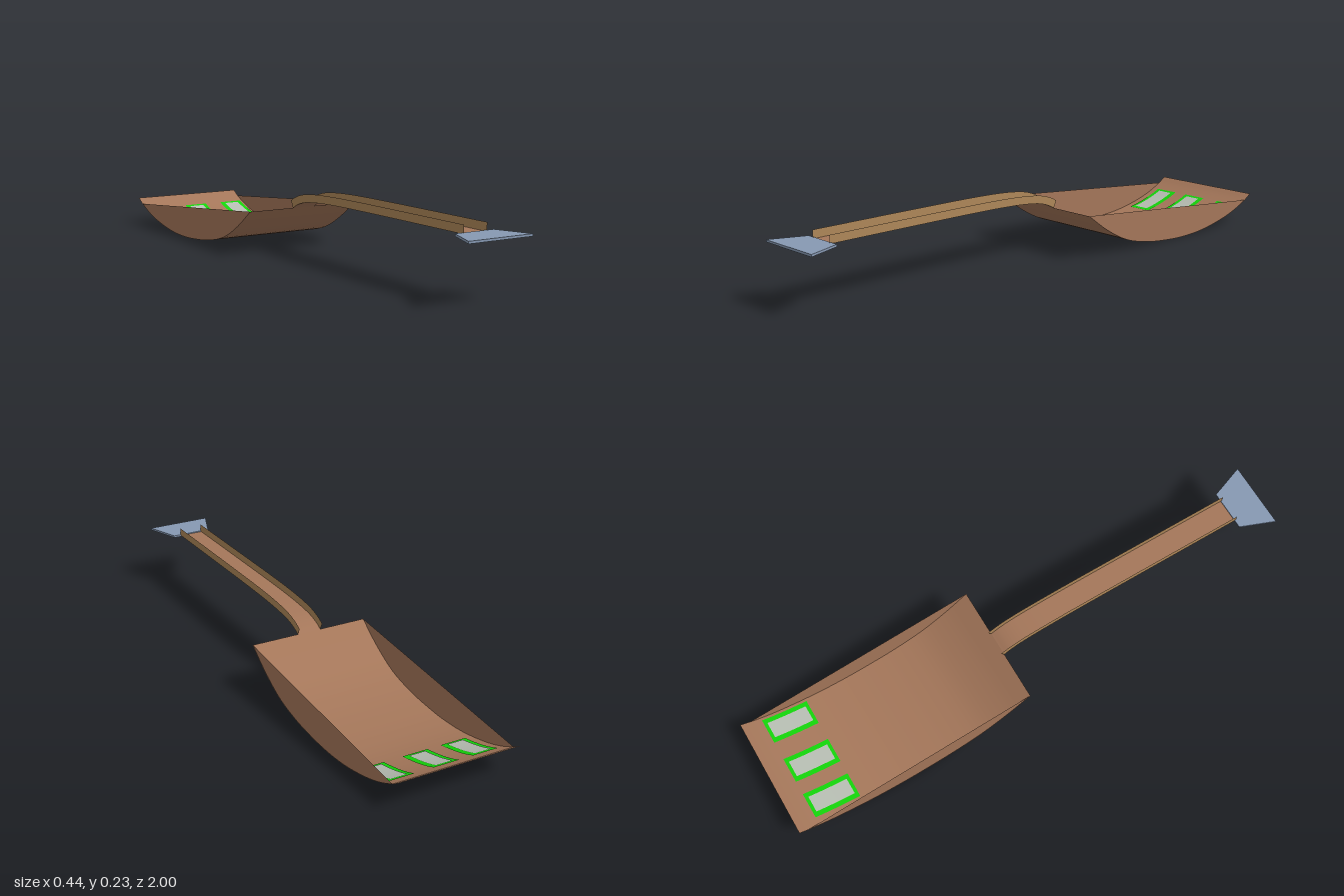
import * as THREE from 'three';

const mat = (name, color, side = THREE.DoubleSide) => {
  const m = new THREE.MeshStandardMaterial({ color, side });
  m.name = name;
  return m;
};

// surface stretched between two rows of points
function loft(rowA, rowB) {
  const pos = [], index = [];
  rowA.forEach((a, i) => {
    pos.push(...a, ...rowB[i]);
    if (i > 0) {
      const k = 2 * (i - 1);
      index.push(k, k + 1, k + 3, k, k + 3, k + 2);
    }
  });
  const g = new THREE.BufferGeometry();
  g.setAttribute('position', new THREE.Float32BufferAttribute(pos, 3));
  g.setIndex(index);
  g.computeVertexNormals();
  return g;
}

// smooth side profile through [z, y] points
const profile = (pts) => new THREE.CatmullRomCurve3(
  pts.map(([z, y]) => new THREE.Vector3(0, y, z)), false, 'centripetal');

export function createModel() {
  const model = new THREE.Group();
  const brown = mat('brown', 0xa5775a);
  const tan = mat('tan', 0xae8759);
  const steel = mat('steelBlue', 0x8799b3);
  const green = mat('green', 0x14d40a);
  const grey = mat('paleGrey', 0xb6bdb2);

  const add = (name, geometry, material) => {
    const mesh = new THREE.Mesh(geometry, material);
    mesh.name = name;
    model.add(mesh);
    return mesh;
  };
  const sheet = (pts, x0, x1, lift = 0) => loft(
    pts.map((p) => [x0, p.y + lift, p.z]), pts.map((p) => [x1, p.y + lift, p.z]));

  // curved bowl floor
  const bowl = profile([[-0.088, 0.162], [-0.18, 0.097], [-0.285, 0.043], [-0.4, 0.015],
    [-0.5, 0.004], [-0.59, 0], [-0.7, 0.006], [-0.82, 0.028], [-0.9, 0.052],
    [-0.967, 0.082], [-1, 0.102]]);
  const bowlPts = bowl.getPoints(40);
  add('bowlFloor', sheet(bowlPts, -0.222, 0.222), brown);

  // thin bowl sides, straight along the top
  const sidePts = bowlPts.filter((p) => p.z >= -0.968);
  const rimY = (z) => 0.162 + (z + 0.088) / (-0.967 + 0.088) * (0.082 - 0.162);
  for (const [name, x] of [['leftBowlSide', 0.221], ['rightBowlSide', -0.221]]) {
    add(name, loft(sidePts.map((p) => [x, p.y, p.z]),
      sidePts.map((p) => [x, Math.max(p.y, rimY(p.z)), p.z])), brown);
  }

  // handle floor, curving down into the bowl
  const handle = profile([[0.88, 0.205], [0.5, 0.205], [0.25, 0.204], [0.12, 0.201],
    [0.04, 0.196], [-0.02, 0.188], [-0.06, 0.176], [-0.088, 0.162]]);
  const handlePts = handle.getPoints(42);
  add('handleFloor', sheet(handlePts, -0.045, 0.045), brown);

  // upright rails standing square to the handle floor
  const top = handlePts.map((p, i) => {
    const t = handle.getTangent(i / 42);
    return [p.y - t.z * 0.029, p.z + t.y * 0.029];
  });
  for (const [name, x] of [['leftRail', 0.045], ['rightRail', -0.045]]) {
    add(name, loft(handlePts.map((p) => [x, p.y, p.z]),
      top.map(([y, z]) => [x, y, z])), tan);
  }

  // flared end plate
  const shape = new THREE.Shape([[-0.075, -0.875], [0.075, -0.875], [0.121, -1], [-0.124, -1]]
    .map(([x, y]) => new THREE.Vector2(x, y)));
  const plate = new THREE.ExtrudeGeometry(shape, { depth: 0.008, bevelEnabled: false });
  plate.rotateX(-Math.PI / 2);
  add('endPlate', plate, steel).position.y = 0.201;

  // bordered panels lying on the bowl floor
  const along = (z0, z1) => {
    const pts = [];
    for (let i = 0; i <= 6; i++) {
      const z = z0 + (z1 - z0) * i / 6;
      const k = bowlPts.findIndex((p) => p.z <= z);
      const a = bowlPts[k - 1], b = bowlPts[k];
      pts.push(a.clone().lerp(b, (z - a.z) / (b.z - a.z)));
    }
    return pts;
  };
  [-0.145, 0, 0.163].forEach((x, i) => {
    add('panelBorder' + (i + 1), sheet(along(-0.76, -0.928), x - 0.047, x + 0.047, 0.003), green);
    add('panelCentre' + (i + 1), sheet(along(-0.772, -0.916), x - 0.03, x + 0.03, 0.005), grey);
  });

  return model;
}
